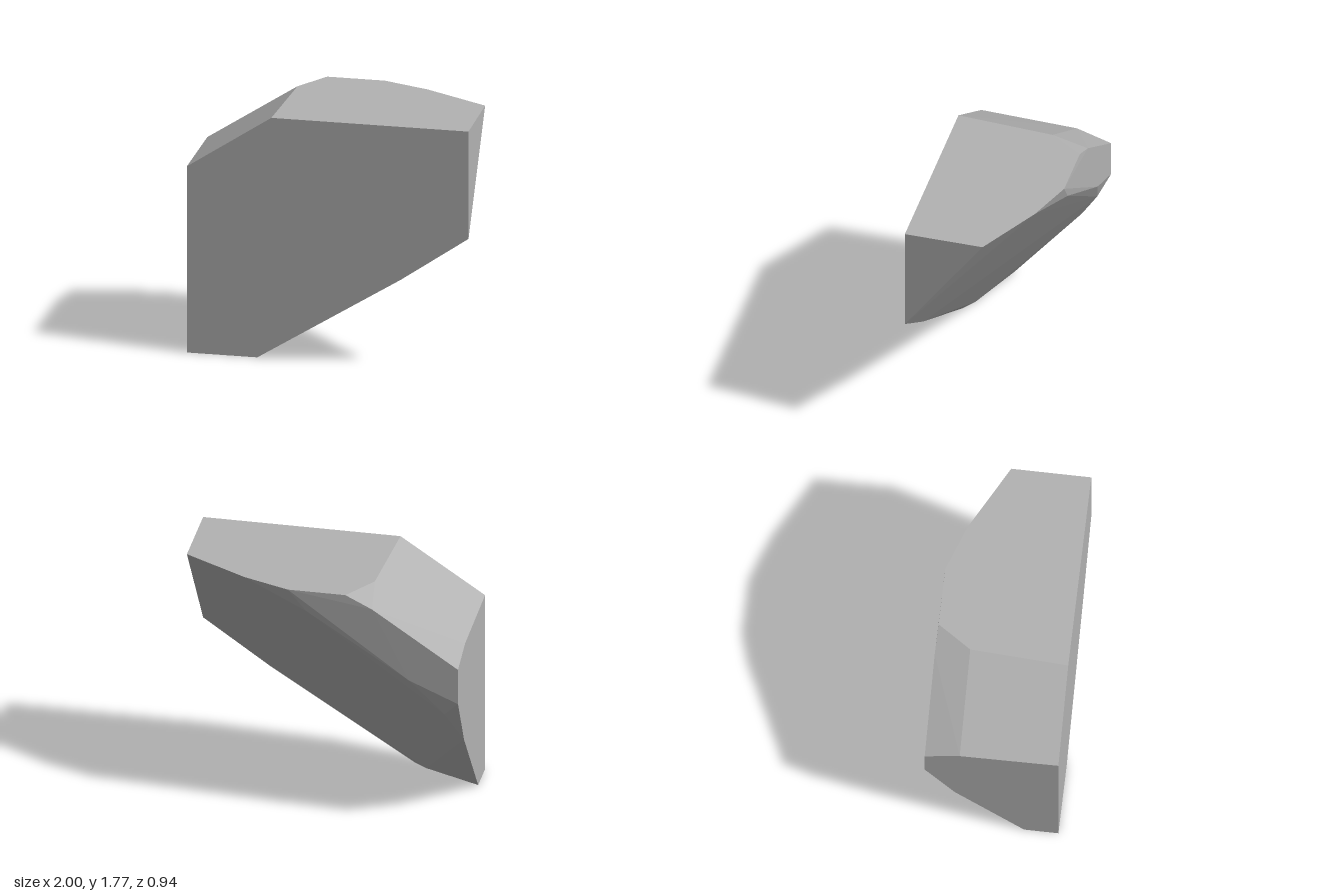
import * as THREE from 'three';
import { ConvexGeometry } from 'three/addons/geometries/ConvexGeometry.js';

// A faceted rock shard: flat front and top, chipped back and underside.
export function createModel() {
  const group = new THREE.Group();
  group.name = 'rockShard';

  const stone = new THREE.MeshStandardMaterial({ color: 0xb2b2b2 });
  stone.name = 'stone grey';

  const corners = [
    // flat front outline
    [-1, 0, 0.47], [-0.5, 0, 0.47], [0.52, 0.645, 0.47], [1, 0.98, 0.47],
    [1, 1.77, 0.47], [-0.4, 1.77, 0.47], [-1, 1.37, 0.47],
    // rear rim of the flat top
    [1, 1.77, -0.09], [0.54, 1.77, -0.34], [0.21, 1.77, -0.46],
    [-0.2, 1.77, -0.46], [-0.36, 1.77, -0.22],
    // rear outline of the right side
    [-1, 1.35, -0.22], [-1, 1.27, -0.465], [-1, 1.0, -0.465],
    [-1, 0.61, -0.255], [-1, 0, 0.23],
    // small foot and chipped back corners
    [-0.6, 0, 0.4], [-0.39, 1.68, -0.465], [-0.65, 1.15, -0.465],
    [-0.89, 0.87, -0.395], [0.08, 1.61, -0.45],
  ].map(([x, y, z]) => new THREE.Vector3(x, y, z));

  const rock = new THREE.Mesh(new ConvexGeometry(corners), stone);
  rock.name = 'rock';
  group.add(rock);
  return group;
}
